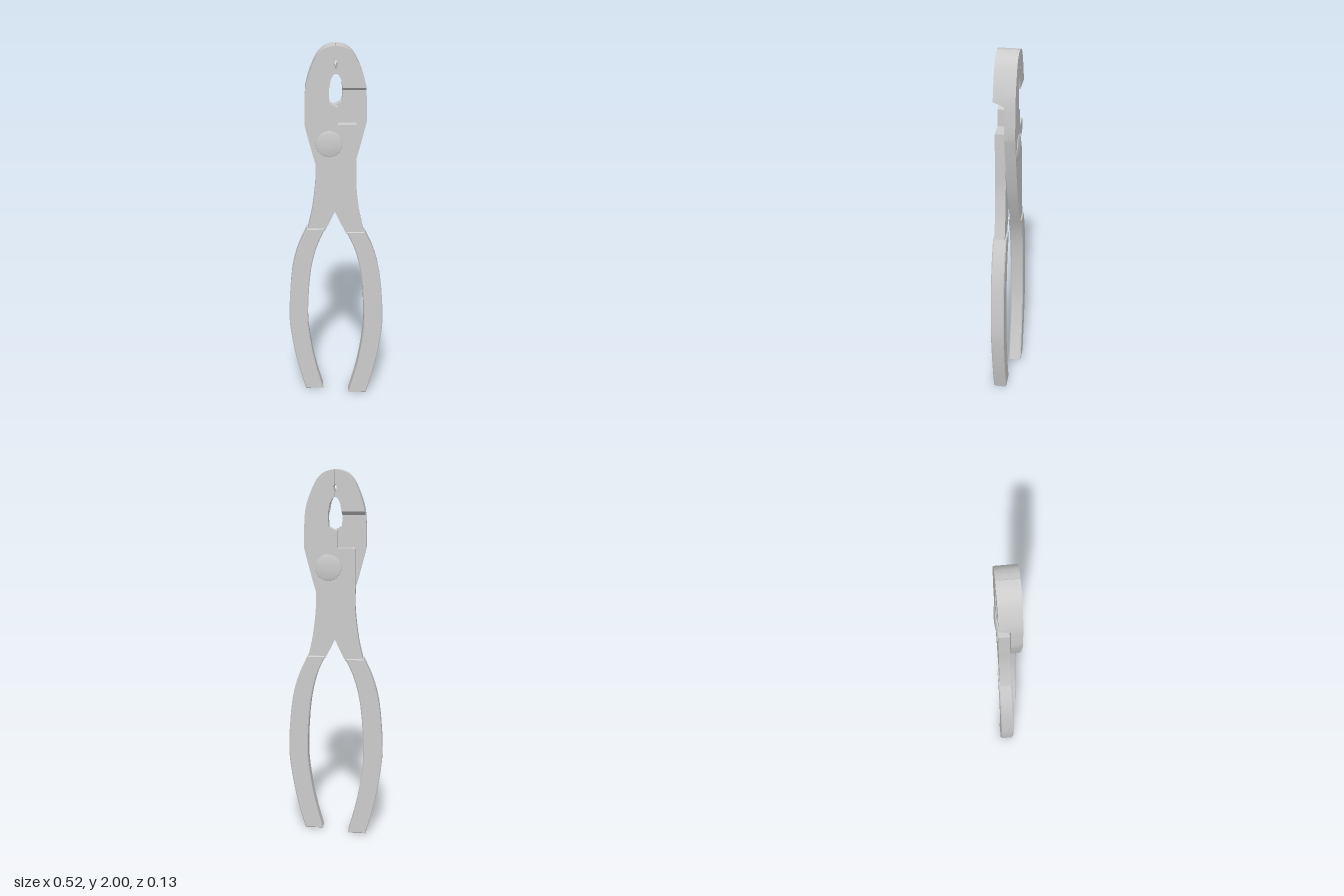
import * as THREE from 'three';
import { toCreasedNormals } from 'three/addons/utils/BufferGeometryUtils.js';

const T = 0.055; // half the thickness of the head
const material = new THREE.MeshStandardMaterial({ color: 0xcccccc });

// Smooth run of points through a few control points
function curve(points, n = 16) {
  return new THREE.SplineCurve(points.map(([x, y]) => new THREE.Vector2(x, y))).getPoints(n);
}
const corners = (points) => points.map(([x, y]) => new THREE.Vector2(x, y));

function slab(outline, z, depth, options = {}) {
  const shape = new THREE.Shape(outline);
  if (options.hole) shape.holes.push(new THREE.Path(options.hole));
  const bevel = options.bevel || 0;
  const geometry = new THREE.ExtrudeGeometry(shape, {
    depth: depth - 2 * bevel, steps: 1, bevelEnabled: bevel > 0, bevelSize: bevel,
    bevelThickness: bevel, bevelOffset: -bevel, bevelSegments: 1,
  });
  return geometry.translate(0, 0, z + bevel);
}

function part(name, geometry) {
  const mesh = new THREE.Mesh(toCreasedNormals(geometry, 0.5), material);
  mesh.name = name;
  return mesh;
}

// Gripping edge of the jaw, from the tip down to the pipe opening
const grip = [
  [-0.001, 2], [-0.001, 1.93], [-0.01, 1.91], [-0.001, 1.885], [-0.001, 1.862],
  [-0.015, 1.855], [-0.027, 1.83], [-0.034, 1.79],
];

function createLever() {
  const lever = new THREE.Group();

  // Front plate: jaw on one side, crossing over to the other side's handle
  const plate = [
    ...corners(grip),
    ...corners([[-0.035, 1.75], [-0.032, 1.71], [0, 1.692], [0.01, 1.69], [0.01, 1.6], [0.107, 1.6]]),
    ...curve([[0.107, 1.4], [0.107, 1.28], [0.124, 1.13], [0.152, 1.0]]),
    ...curve([[0.056, 1.0], [0, 1.115], [-0.055, 1.24], [-0.102, 1.38], [-0.135, 1.5], [-0.16, 1.6]]),
    ...curve([[-0.16, 1.66], [-0.155, 1.78], [-0.135, 1.86], [-0.1, 1.94], [-0.065, 1.98], [-0.03, 1.996]]),
  ];
  const slot = corners([
    [0.015, 1.46], [0.027, 1.485], [0.027, 1.525], [0.05, 1.542],
    [0.088, 1.52], [0.092, 1.475], [0.06, 1.442],
  ]);
  lever.add(part('plate', slab(plate, 0, T, { hole: slot })));

  // Rear half of the jaw tip, its underside sloping towards the plate
  const tip = [
    ...corners(grip),
    ...curve([[-0.154, 1.79], [-0.135, 1.86], [-0.1, 1.94], [-0.065, 1.98], [-0.03, 1.996]]),
  ];
  const tipGeometry = slab(tip, -T, T);
  const p = tipGeometry.attributes.position;
  for (let i = 0; i < p.count; i++) {
    if (p.getY(i) < 1.7905 && p.getZ(i) > -0.01) p.setY(i, 1.768);
  }
  tipGeometry.computeVertexNormals();
  lever.add(part('jawTip', tipGeometry));

  // Bowed grip with chamfered edges
  const handle = [
    ...curve([[0.056, 1.012], [0.105, 0.9], [0.14, 0.74], [0.156, 0.5], [0.147, 0.35], [0.117, 0.17], [0.073, 0]]),
    ...curve([[0.173, 0], [0.218, 0.17], [0.25, 0.35], [0.261, 0.5], [0.243, 0.74], [0.208, 0.89], [0.154, 1.012]]),
  ];
  lever.add(part('handle', slab(handle, -0.01, 0.072, { bevel: 0.005 })));

  // Domed pivot head
  const dome = curve([[0.0695, 0], [0.0675, 0.004], [0.05, 0.0075], [0.027, 0.0105], [0, 0.0115]], 10);
  dome[dome.length - 1].x = 0;
  const rivet = part('pivotHead', new THREE.LatheGeometry(dome, 40));
  rivet.rotation.x = Math.PI / 2;
  rivet.position.set(-0.035, 1.5, T - 0.001);
  lever.add(rivet);
  return lever;
}

export function createModel() {
  const model = new THREE.Group();
  model.name = 'pliers';
  // The two levers are the same, turned half round the upright axis
  ['frontLever', 'backLever'].forEach((name, i) => {
    const lever = createLever();
    lever.name = name;
    lever.rotation.y = i * Math.PI;
    model.add(lever);
  });
  return model;
}
